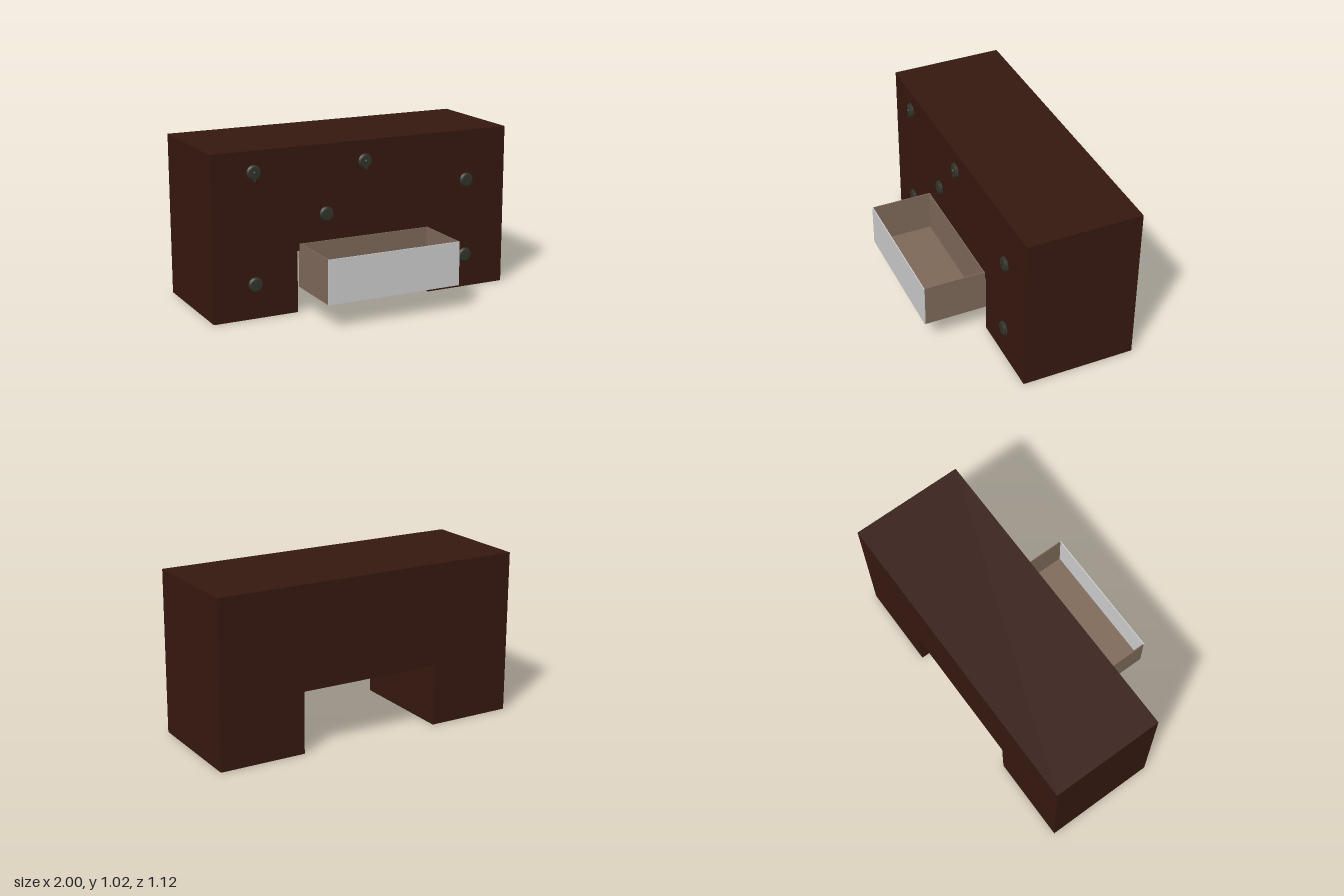
import * as THREE from 'three';

const material = (color) => new THREE.MeshStandardMaterial({ color });

export function createModel() {
  const model = new THREE.Group();
  model.name = 'deskWithDrawer';
  const darkWood = material(0x35180f);
  const paleWood = material(0x7d6858);
  const grey = material(0xcccccc);
  const metal = material(0x30332a);

  const add = (parent, name, geometry, mat, x = 0, y = 0, z = 0) => {
    const mesh = new THREE.Mesh(geometry, mat);
    mesh.name = name;
    mesh.position.set(x, y, z);
    parent.add(mesh);
    return mesh;
  };

  // Desk body: a block with a knee opening running front to back
  const back = -0.56, face = 0.16;
  const outline = new THREE.Shape([
    [-1, 0], [-0.455, 0], [-0.455, 0.385], [0.455, 0.385],
    [0.455, 0], [1, 0], [1, 1.025], [-1, 1.025],
  ].map(([x, y]) => new THREE.Vector2(x, y)));
  const bodyGeometry = new THREE.ExtrudeGeometry(outline, { depth: face - back, bevelEnabled: false });
  add(model, 'deskBody', bodyGeometry, darkWood, 0, 0, back);

  // Open drawer made of thin boards
  const drawer = new THREE.Group();
  drawer.name = 'drawer';
  model.add(drawer);
  const width = 0.88, bottom = 0.155, height = 0.275, front = 0.557, rear = 0.145, t = 0.006;
  const length = front - rear, midY = bottom + height / 2, midZ = (front + rear) / 2;
  add(drawer, 'drawerFront', new THREE.BoxGeometry(width, height, t), grey, 0, midY, front - t / 2);
  add(drawer, 'drawerBack', new THREE.BoxGeometry(width - 2 * t, height, t), paleWood, 0, midY, face + t);
  add(drawer, 'drawerFloor', new THREE.BoxGeometry(width - 2 * t, t, length - t), paleWood, 0, bottom + t / 2, midZ - t / 2);
  for (const side of [-1, 1]) {
    add(drawer, side > 0 ? 'drawerLeftSide' : 'drawerRightSide',
      new THREE.BoxGeometry(t, height, length - t), paleWood, side * (width - t) / 2, midY, midZ - t / 2);
  }

  // Round lock plates, stepped in profile, with axis turned to face forward
  const plateProfile = [
    [0.045, 0], [0.045, 0.003], [0.039, 0.005], [0.039, 0.008],
    [0.043, 0.010], [0.041, 0.015], [0.034, 0.018], [0, 0.018],
  ].map(([r, h]) => new THREE.Vector2(r, h));
  const plateGeometry = new THREE.LatheGeometry(plateProfile.reverse(), 24);
  // Lathe winding faces outward when the profile climbs
  plateGeometry.dispose();
  const plate = new THREE.LatheGeometry(plateProfile.reverse(), 24).rotateX(Math.PI / 2);

  const addPlate = (x, y, withPull) => {
    const lock = new THREE.Group();
    lock.name = 'lockPlate';
    lock.position.set(x, y, face);
    model.add(lock);
    add(lock, 'plate', plate, metal);
    if (withPull) {
      // Small stud with a hanging tag
      add(lock, 'stud', new THREE.SphereGeometry(0.011, 12, 8), metal, 0, 0, 0.018);
      add(lock, 'hangingTag', new THREE.BoxGeometry(0.014, 0.05, 0.004), metal, 0, -0.026, 0.019);
    }
  };
  addPlate(-0.73, 0.895, true);
  addPlate(0, 0.895, true);
  addPlate(0.72, 0.705, false);
  addPlate(-0.26, 0.595, false);
  addPlate(-0.73, 0.213, false);
  addPlate(0.72, 0.213, false);

  return model;
}
